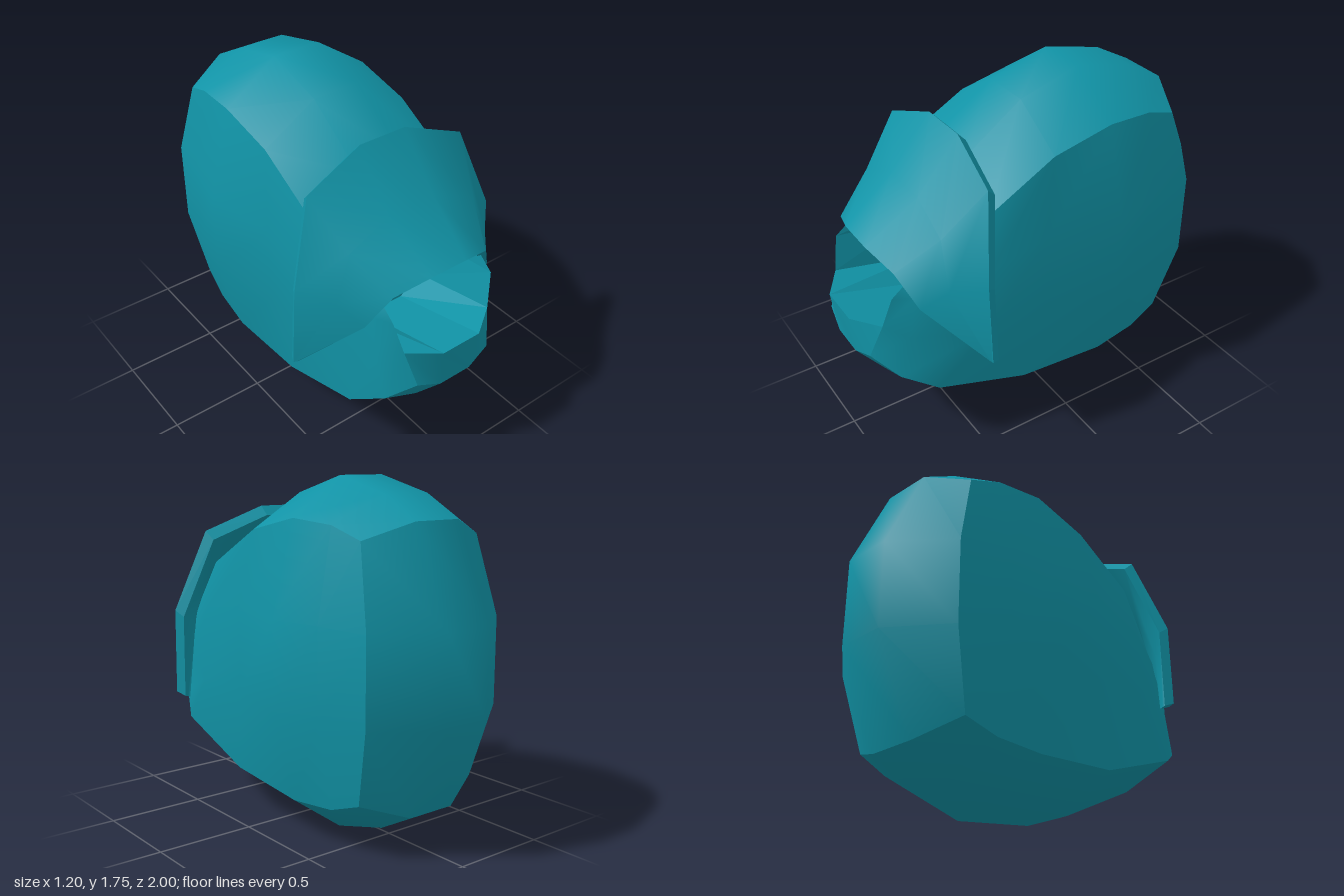
import * as THREE from 'three';

const material = new THREE.MeshStandardMaterial({ color: 0x1193a6, side: THREE.DoubleSide });

// Surface through rows of [x, y, z] points; smooth inside, sharp at its borders
function patch(name, rows, flat = false) {
  const n = rows[0].length, index = [];
  for (let i = 0; i < rows.length - 1; i++)
    for (let j = 0; j < n - 1; j++) {
      const a = i * n + j, b = a + n;
      index.push(a, b, b + 1, a, b + 1, a + 1);
    }
  let geo = new THREE.BufferGeometry();
  geo.setAttribute('position', new THREE.Float32BufferAttribute(rows.flat(2), 3));
  geo.setIndex(index);
  if (flat) geo = geo.toNonIndexed();
  geo.computeVertexNormals();
  const mesh = new THREE.Mesh(geo, material);
  mesh.name = name;
  return mesh;
}

const flip = ([x, y, z]) => [-x, y, z];
// Full row from -x to +x out of its +x half
const mirrorRow = (half) => [...half.map(flip).reverse(), ...half];

export function createModel() {
  const group = new THREE.Group();

  // Shell outline from the brow over the back to the chin:
  // [middle x, y, z, side edge x, y, z]
  const outline = [
    [0.13, 1.08, 0.78, 0.30, 1.02, 0.77],
    [0.13, 1.43, 0.38, 0.41, 1.30, 0.40],
    [0.13, 1.66, 0.05, 0.41, 1.49, 0.05],
    [0.13, 1.75, -0.27, 0.41, 1.56, -0.27],
    [0.13, 1.67, -0.59, 0.385, 1.54, -0.52],
    [0.13, 1.56, -0.79, 0.36, 1.48, -0.69],
    [0.13, 1.10, -1.0, 0.41, 1.09, -0.79],
    [0.13, 0.66, -1.0, 0.41, 0.66, -0.79],
    [0.13, 0.20, -0.79, 0.36, 0.28, -0.69],
    [0.13, 0.09, -0.59, 0.385, 0.22, -0.52],
    [0.13, 0.0, -0.27, 0.41, 0.20, -0.27],
    [0.13, 0.07, 0.21, 0.41, 0.24, 0.21],
    [0.13, 0.30, 0.70, 0.41, 0.41, 0.70],
    [0.13, 0.41, 0.86, 0.33, 0.50, 0.86],
    [0.09, 0.55, 0.98, 0.22, 0.60, 0.96],
    [0.11, 0.77, 1.0, 0.26, 0.78, 0.90],
  ];
  const mid = outline.map((s) => s.slice(0, 3));
  const edge = outline.map((s) => s.slice(3));
  const bands = outline.map((s, i) => mirrorRow([mid[i], edge[i]]).reverse());
  group.add(
    patch('shellTop', bands.slice(0, 6)),
    patch('shellBack', bands.slice(5, 9)),
    patch('shellBottom', bands.slice(8, 15)),
    patch('chinFront', bands.slice(14, 16)),
  );

  // Bulging sides, columns from back to front, each from top to bottom
  const rimSide = [0.30, 0.95, 0.86];
  const side = [
    [edge[5], edge[6], edge[7], edge[8]],
    [edge[4], [0.47, 1.10, -0.53], [0.47, 0.66, -0.53], edge[9]],
    [edge[3], [0.53, 1.10, -0.27], [0.53, 0.66, -0.27], edge[10]],
    [edge[2], [0.46, 1.09, 0.12], [0.46, 0.67, 0.12], edge[11]],
    [edge[1], [0.46, 1.04, 0.43], [0.46, 0.69, 0.45], edge[12]],
    [edge[0], [0.34, 0.94, 0.76], [0.34, 0.72, 0.80], edge[13]],
    [edge[0], rimSide, edge[15], edge[14]],
  ];
  group.add(
    patch('leftSide', side),
    patch('rightSide', side.map((col) => col.map(flip).reverse())),
  );

  // Face opening: walls run from the rim back to a recessed panel
  const rimHalf = [mid[0], edge[0], rimSide, edge[15], mid[15]];
  const closed = (half) => { const r = mirrorRow(half); return [...r, r[0]]; };
  const rim = closed(rimHalf);
  const inner = closed([
    [0.12, 1.08, 0.45], [0.26, 1.03, 0.45], [0.28, 0.92, 0.45],
    [0.24, 0.70, 0.45], [0.11, 0.62, 0.45],
  ]);
  group.add(
    patch('openingWalls', [rim, inner], true),
    patch('openingPanel', [inner, inner.map(() => [0, 0.85, 0.45])], true),
  );

  // Visor plate: rows from the upper rim to the lower front edge
  const upper = [[0.13, 1.58, 0.39], [0.45, 1.46, 0.43], [0.59, 1.05, 0.52], [0.60, 0.62, 0.51]];
  const middle = [[0.13, 1.32, 0.61], [0.37, 1.23, 0.63], [0.46, 1.0, 0.65], [0.585, 0.615, 0.51]];
  const lower = [[0.10, 1.13, 0.88], [0.28, 1.07, 0.83], [0.38, 0.90, 0.76], [0.57, 0.61, 0.51]];
  const outer = [upper, middle, lower].map(mirrorRow);
  const inset = ([x, y, z]) => [x * 0.96, y * 0.97, z - 0.045];
  const loop = [...outer[0], ...[...outer[2]].reverse(), outer[0][0]];
  const visor = new THREE.Group();
  visor.name = 'visor';
  visor.add(
    patch('visorOuter', outer),
    patch('visorInner', outer.map((row) => row.map(inset).reverse())),
    patch('visorRim', [loop.map(inset), loop], true),
  );
  group.add(visor);

  return group;
}
